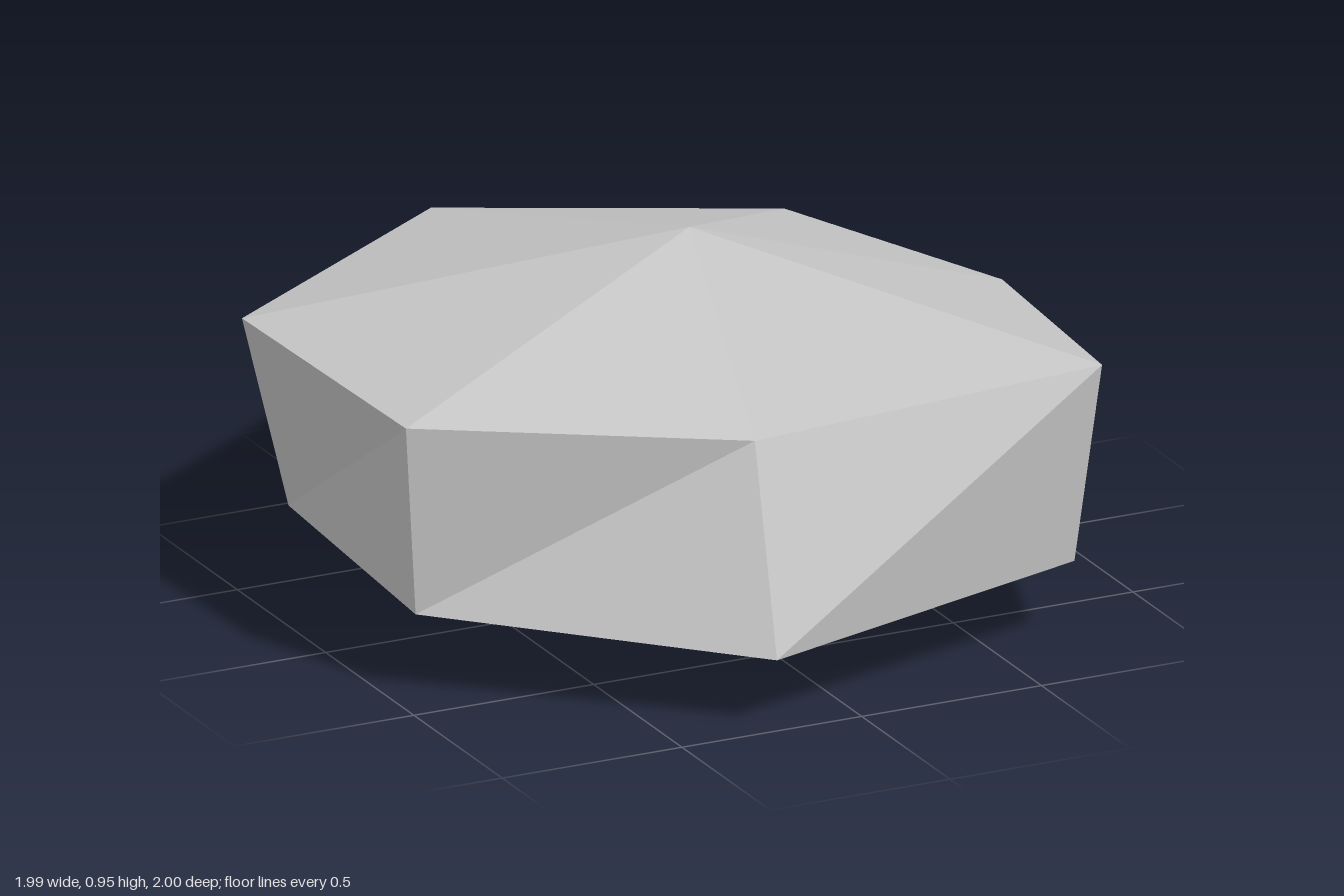
import * as THREE from 'three';

// Faceted boulder: two uneven seven-sided rings closed by a top and a bottom point.
const CENTRE = new THREE.Vector3(0.03, 0.475, -0.038);
const STRETCH_X = 1.12;
const UPPER_RADII = [0.777, 1.061, 0.795, 0.99, 1.018, 0.987, 0.84];
const LOWER_RADII = [0.861, 0.99, 1.064, 0.956, 0.912, 0.867, 0.877];

// Each ring point moves out from the centre by its radius; slope sets its height.
function ring(radii, slope) {
  return radii.map((r, i) => {
    const a = (i / radii.length) * Math.PI * 2;
    return new THREE.Vector3(Math.cos(a) * r * STRETCH_X, r * slope, Math.sin(a) * r).add(CENTRE);
  });
}

export function createModel() {
  const group = new THREE.Group();
  group.name = 'boulder';

  const stone = new THREE.MeshStandardMaterial({ color: 0xc4c4c4, flatShading: true });
  stone.name = 'pale stone grey';

  const upper = ring(UPPER_RADII, 0.25);
  const lower = ring(LOWER_RADII, -0.27);
  const top = new THREE.Vector3(CENTRE.x, 0.952, CENTRE.z);
  const bottom = new THREE.Vector3(CENTRE.x, 0, CENTRE.z);

  // Cap, two side triangles and base for every segment
  const points = [];
  const n = upper.length;
  for (let i = 0; i < n; i++) {
    const j = (i + 1) % n;
    points.push(top, upper[j], upper[i]);
    points.push(upper[i], upper[j], lower[j]);
    points.push(upper[i], lower[j], lower[i]);
    points.push(bottom, lower[i], lower[j]);
  }
  const geometry = new THREE.BufferGeometry().setFromPoints(points);
  geometry.computeVertexNormals();

  const rock = new THREE.Mesh(geometry, stone);
  rock.name = 'rock';
  group.add(rock);
  return group;
}
